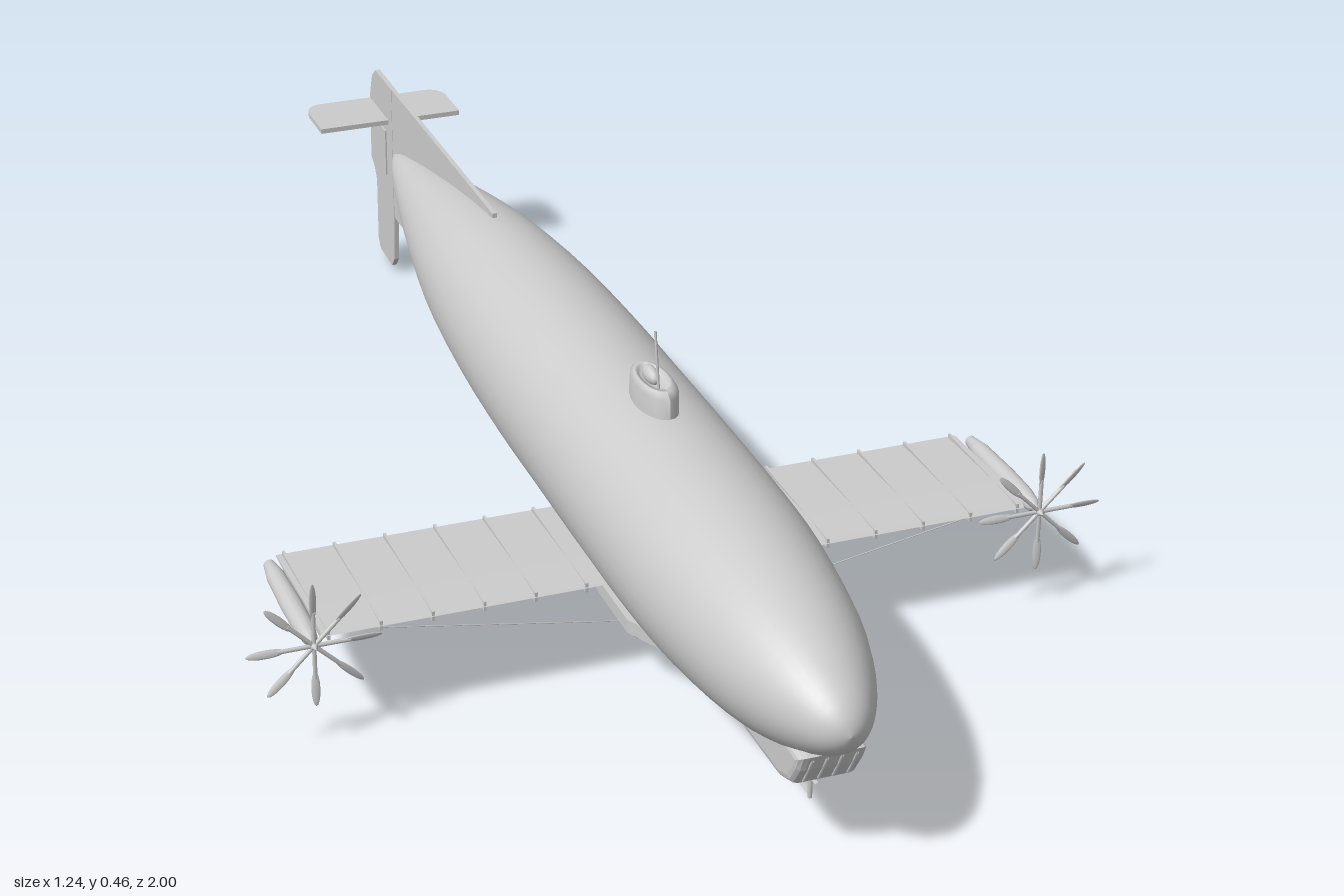
import * as THREE from 'three';

const mat = new THREE.MeshStandardMaterial({ color: 0xcccccc, side: THREE.DoubleSide });
const flat = new THREE.MeshStandardMaterial({ color: 0xcccccc, side: THREE.DoubleSide, flatShading: true });
const v2 = (a) => a.map(([x, y]) => new THREE.Vector2(x, y));

export function createModel() {
  const root = new THREE.Group();
  const add = (name, geo, m = mat, parent = root) => {
    const mesh = new THREE.Mesh(geo, m);
    mesh.name = name;
    parent.add(mesh);
    return mesh;
  };
  // Plate drawn as a (z, y) side outline, centred on x = 0
  const sidePlate = (outline, width, bevel = 0) => {
    const geo = new THREE.ExtrudeGeometry(new THREE.Shape(v2(outline)), {
      depth: width - 2 * bevel, bevelEnabled: bevel > 0, bevelSize: bevel,
      bevelThickness: bevel, bevelOffset: -bevel, bevelSegments: 3,
    });
    return geo.translate(0, 0, bevel - width / 2).rotateY(-Math.PI / 2);
  };
  const box = (name, w, h, d, x, y, z, parent = root) =>
    add(name, new THREE.BoxGeometry(w, h, d).translate(x, y, z), flat, parent);
  const rod = (name, a, b, r, parent = root) => {
    const path = new THREE.LineCurve3(new THREE.Vector3(...a), new THREE.Vector3(...b));
    return add(name, new THREE.TubeGeometry(path, 1, r, 6), mat, parent);
  };

  // Hull: body of revolution along z, open underneath above the gondola
  const profile = v2([[0.002, -0.875], [0.028, -0.8], [0.071, -0.6], [0.104, -0.4], [0.122, -0.2],
    [0.129, 0], [0.13, 0.15], [0.131, 0.35], [0.13, 0.52], [0.124, 0.65], [0.105, 0.8],
    [0.078, 0.9], [0.047, 0.965], [0.022, 0.992], [0.0005, 1]]);
  const step = 3;
  const points = new THREE.SplineCurve(profile).getPoints((profile.length - 1) * step);
  const hull = new THREE.Group();
  hull.name = 'hull';
  root.add(hull);
  const hullPart = (name, from, to, start, length, sides) => {
    const geo = new THREE.LatheGeometry(points.slice(from * step, to * step + 1), sides, start, length);
    add(name, geo.rotateX(Math.PI / 2).translate(0, 0.225, 0), mat, hull);
  };
  hullPart('rearHull', 0, 6, 0, Math.PI * 2, 36);
  hullPart('middleHull', 6, 8, Math.PI / 3, Math.PI * 4 / 3, 24);
  hullPart('frontHull', 8, 14, 0, Math.PI * 2, 36);

  // Chin cabin under the nose with its short mast
  add('chinCabin', sidePlate([[0.955, 0.175], [0.945, 0.15], [0.925, 0.12], [0.89, 0.108],
    [0.75, 0.108], [0.68, 0.13], [0.75, 0.19]], 0.094, 0.012), flat);
  for (const x of [-0.03, -0.01, 0.01, 0.03])
    rod('cabinFrame', [x, 0.17, 0.956], [x, 0.125, 0.93], 0.002);
  rod('noseMast', [0, 0.065, 0.885], [0, 0.12, 0.885], 0.003);
  rod('noseMastFoot', [0, 0.098, 0.9], [0, 0.098, 0.87], 0.004);

  // Lookout tower on top of the hull, stretched along z
  const tower = add('tower', new THREE.LatheGeometry(
    v2([[0.028, 0], [0.027, 0.038], [0.022, 0.046], [0.018, 0.046], [0.016, 0.036], [0, 0.036]]), 20)
    .scale(1, 1, 2.25).translate(0, 0, 0.328));
  tower.geometry.computeVertexNormals();
  tower.position.y = 0.345;
  add('periscopeHousing', new THREE.SphereGeometry(0.012, 12, 8).scale(0.8, 1, 2).translate(0, 0.388, 0.315));
  rod('antenna', [0, 0.38, 0.345], [0, 0.46, 0.33], 0.002);

  // Wing: thin aerofoil through the hull, with ribs
  const wing = new THREE.Group();
  wing.name = 'wing';
  root.add(wing);
  add('wingPanel', sidePlate([[0.45, 0.155], [0.442, 0.16], [0.38, 0.162], [0.225, 0.156],
    [0.225, 0.154], [0.38, 0.149], [0.442, 0.15]], 1.02), flat, wing);

  for (const s of [-1, 1]) {
    for (let i = 0; i < 6; i++)
      box('wingRib', 0.004, 0.014, 0.222, s * (0.14 + i * 0.072), 0.155, 0.338, wing);

    // Wing tip engine pod
    const engine = new THREE.Group();
    engine.name = s > 0 ? 'leftEngine' : 'rightEngine';
    engine.position.set(s * 0.525, 0.155, 0);
    root.add(engine);
    add('pod', new THREE.LatheGeometry(v2([[0, 0.235], [0.008, 0.245], [0.013, 0.28], [0.015, 0.36],
      [0.014, 0.42], [0.01, 0.448], [0.005, 0.455], [0.005, 0.47], [0, 0.478]]), 14)
      .rotateX(Math.PI / 2), mat, engine);

    // Eight-bladed propeller
    for (let i = 0; i < 8; i++) {
      const blade = new THREE.SphereGeometry(1, 8, 8).scale(0.006, 0.027, 0.002)
        .rotateY(0.35).translate(0, 0.066, 0);
      const shank = new THREE.CylinderGeometry(0.003, 0.003, 0.05, 6).translate(0, 0.025, 0);
      for (const [name, geo] of [['blade', blade], ['bladeShank', shank]])
        add(name, geo.rotateZ(i * Math.PI / 4).translate(0, 0, 0.467), mat, engine);
    }

    // Bracing wires
    rod('wingWire', [s * 0.083, 0.075, 0.42], [s * 0.52, 0.152, 0.42], 0.0008);
    rod('wingWire', [s * 0.07, 0.075, 0.24], [s * 0.52, 0.152, 0.26], 0.0008);
  }
  rod('noseWire', [0, 0.067, 0.885], [0, 0.072, 0.5], 0.0008);

  // Gondola: boat-shaped cross-sections [z, topWidth, topY, chineWidth, chineY, keelY]
  const sections = [[0.14, 0.04, 0.1, 0.025, 0.07, 0.055], [0.22, 0.075, 0.1, 0.042, 0.05, 0.032],
    [0.35, 0.086, 0.1, 0.055, 0.05, 0.035], [0.46, 0.086, 0.1, 0.06, 0.06, 0.05],
    [0.535, 0.05, 0.1, 0.04, 0.09, 0.083]];
  const pos = [], index = [], n = 7;
  for (const [z, w, y, cw, cy, k] of sections)
    for (const [px, py] of [[w, y], [w, y - 0.02], [cw, cy], [0, k], [-cw, cy], [-w, y - 0.02], [-w, y]])
      pos.push(px, py, z);
  for (let i = 0; i < sections.length - 1; i++)
    for (let j = 0; j < n; j++) {
      const a = i * n + j, b = i * n + (j + 1) % n;
      index.push(a, a + n, b, b, a + n, b + n);
    }
  const last = (sections.length - 1) * n;
  for (let j = 1; j < n - 1; j++) index.push(0, j, j + 1, last, last + j + 1, last + j);
  const gondola = new THREE.BufferGeometry();
  gondola.setAttribute('position', new THREE.Float32BufferAttribute(pos, 3));
  gondola.setIndex(index);
  gondola.computeVertexNormals();
  add('gondola', gondola, flat);
  add('keel', sidePlate([[0.36, 0.04], [0.3, 0.022], [0.2, 0.008], [0.147, 0.002], [0.147, 0.07]], 0.007), flat);

  // Machinery standing on the gondola deck, below the wing
  box('engineBed', 0.05, 0.016, 0.15, 0, 0.108, 0.33);
  for (const x of [-0.025, 0.025])
    add('engineCylinder', new THREE.CylinderGeometry(0.012, 0.012, 0.13, 12)
      .rotateX(Math.PI / 2).translate(x, 0.128, 0.33));
  for (const s of [-1, 1])
    for (const z of [0.24, 0.42]) rod('wingStrut', [s * 0.07, 0.1, z], [s * 0.07, 0.155, z], 0.004);

  // Tail: vertical fin, rudder and elevator
  add('tailFin', sidePlate([[-0.35, 0.342], [-0.875, 0.342], [-0.875, 0.11], [-0.5, 0.11],
    [-0.4, 0.15], [-0.35, 0.25]], 0.007), flat);
  add('rudder', sidePlate([[-0.875, 0.342], [-0.965, 0.342], [-0.985, 0.325], [-1, 0.285], [-1, 0.17],
    [-0.985, 0.16], [-0.972, 0.14], [-0.972, 0.03], [-0.96, 0.015], [-0.895, 0.012], [-0.88, 0.03],
    [-0.875, 0.11]], 0.008), flat);
  box('trimPanel', 0.013, 0.08, 0.085, 0, 0.215, -0.95);
  const plan = new THREE.Shape();
  plan.moveTo(-0.12, -0.895);
  plan.lineTo(0.12, -0.895);
  plan.lineTo(0.12, -0.97);
  plan.quadraticCurveTo(0.115, -1, 0.09, -1);
  plan.lineTo(-0.09, -1);
  plan.quadraticCurveTo(-0.115, -1, -0.12, -0.97);
  add('elevator', new THREE.ExtrudeGeometry(plan, { depth: 0.008, bevelEnabled: false })
    .rotateX(Math.PI / 2).translate(0, 0.279, 0), flat);
  return root;
}
